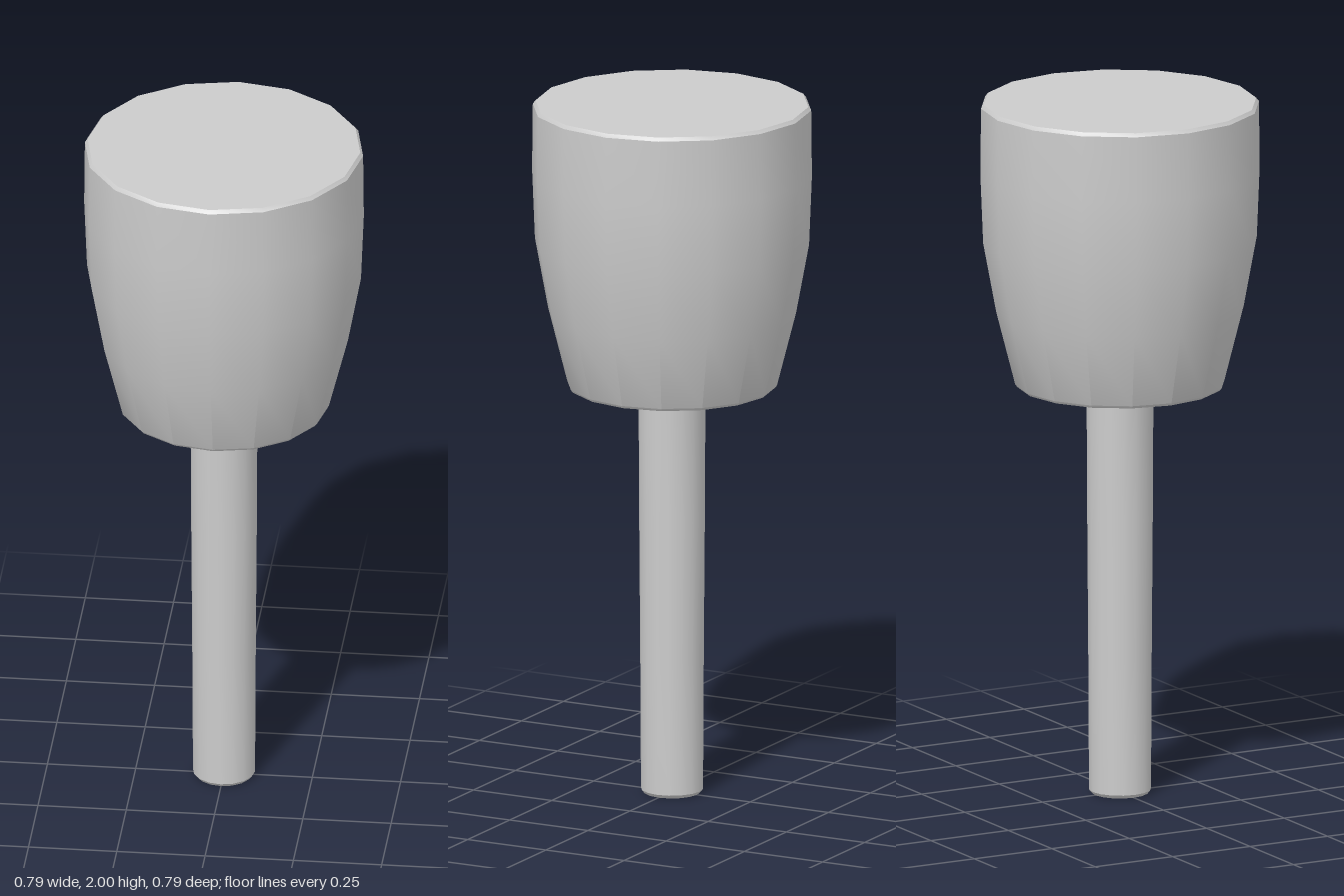
import * as THREE from 'three';
import { toCreasedNormals } from 'three/addons/utils/BufferGeometryUtils.js';

const SIDES = 16;

// Closed turned part from a [radius, height] profile, listed bottom to top
function turned(name, profile) {
  const points = profile.map(([r, y]) => new THREE.Vector2(r, y));
  const geometry = toCreasedNormals(new THREE.LatheGeometry(points, SIDES), Math.PI / 6);
  const mesh = new THREE.Mesh(geometry, new THREE.MeshStandardMaterial({ color: 0xcccccc }));
  mesh.name = name;
  return mesh;
}

export function createModel() {
  const model = new THREE.Group();
  model.name = 'mallet';

  // Slightly tapered handle with a bevelled foot, set into the head
  model.add(turned('handle', [
    [0, 0], [0.08, 0], [0.088, 0.01], [0.09, 0.4], [0.093, 0.8], [0.095, 1.2], [0, 1.2],
  ]));

  // Barrel-shaped head, narrowing towards the handle, with thin bevelled rims
  model.add(turned('head', [
    [0, 1.18], [0.29, 1.18], [0.297, 1.188], [0.351, 1.4], [0.388, 1.6],
    [0.396, 1.8], [0.394, 1.99], [0.386, 2], [0, 2],
  ]));

  return model;
}
